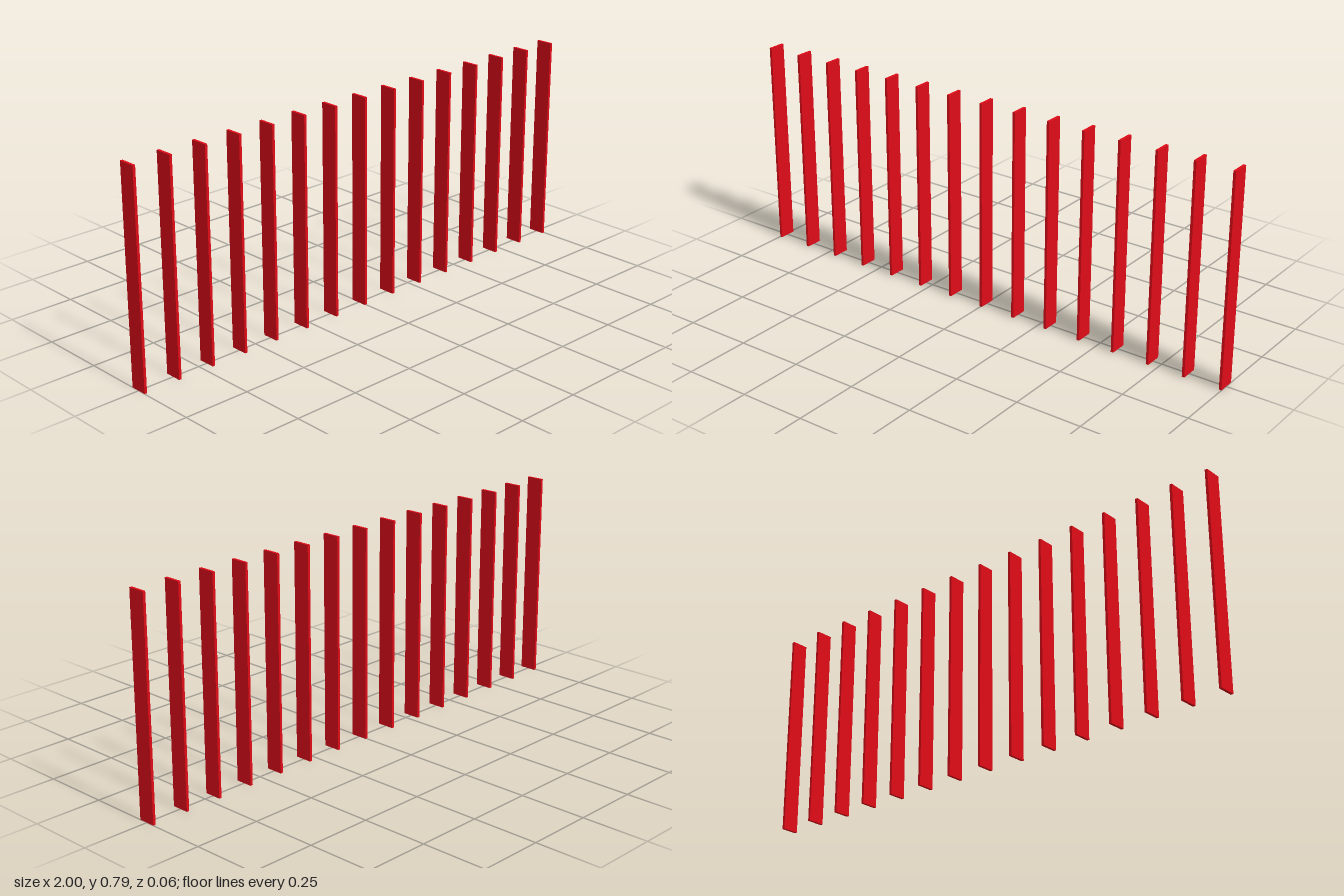
import * as THREE from 'three';

// A row of evenly spaced thin upright slats
export function createModel() {
  const group = new THREE.Group();
  group.name = 'slatRow';

  const count = 15, height = 0.79, thickness = 0.01, depth = 0.065;
  const spacing = (2 - thickness) / (count - 1);
  const material = new THREE.MeshStandardMaterial({ color: 0xe00c18 });
  const geometry = new THREE.BoxGeometry(thickness, height, depth);

  for (let i = 0; i < count; i++) {
    const slat = new THREE.Mesh(geometry, material);
    slat.name = `slat${i + 1}`;
    slat.position.set((i - (count - 1) / 2) * spacing, height / 2, 0);
    group.add(slat);
  }
  return group;
}
